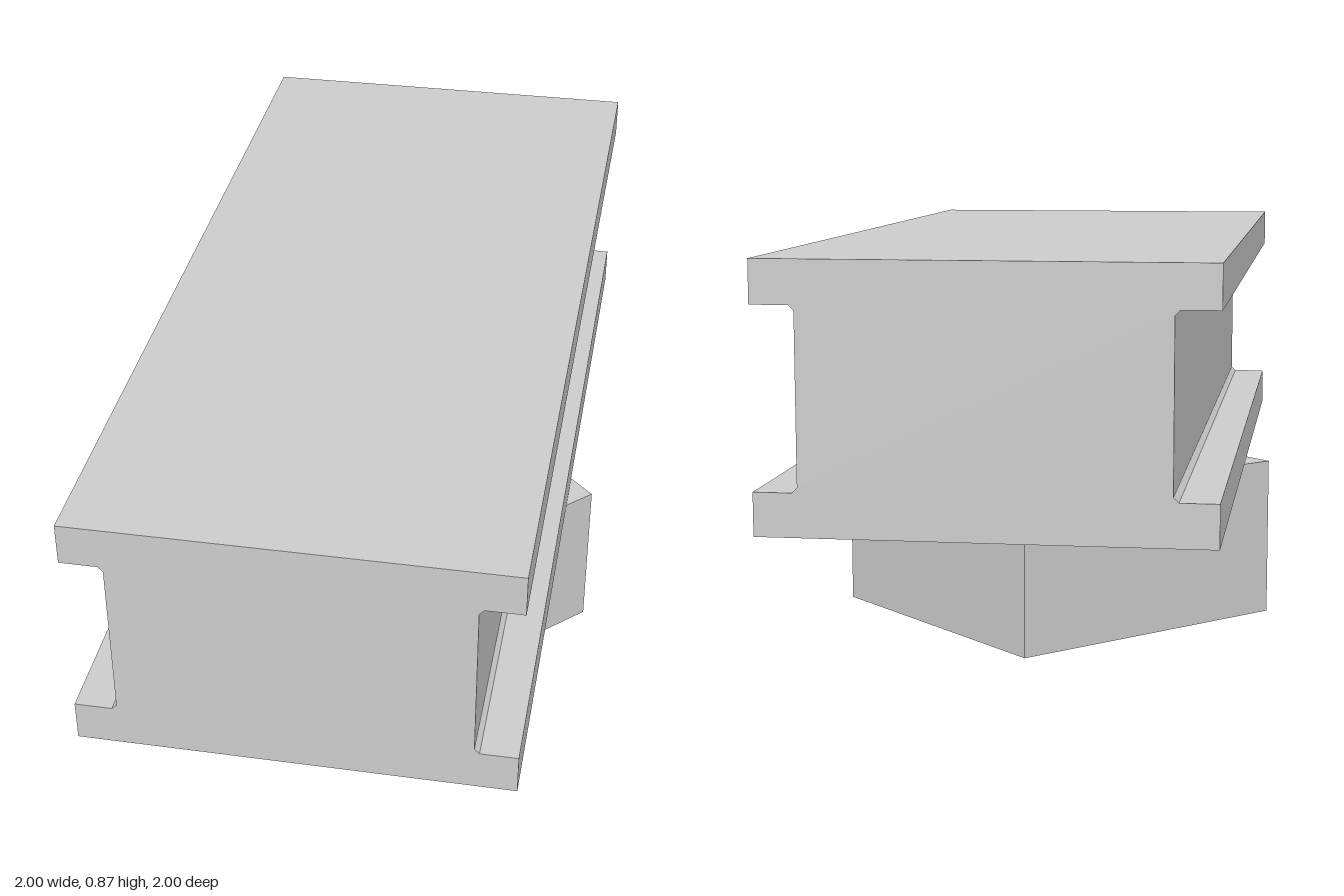
import * as THREE from 'three';

export function createModel() {
  const group = new THREE.Group();
  const material = new THREE.MeshStandardMaterial({ color: 0xcccccc, flatShading: true });

  // Square foot, aligned with the axes
  const base = new THREE.Mesh(new THREE.BoxGeometry(0.69, 0.35, 0.69), material);
  base.name = 'base';
  base.position.y = 0.175;
  group.add(base);

  // I-shaped beam profile with tiny fillets where the web meets the flanges
  const length = 1.96, flange = 0.435, web = 0.35, fillet = 0.01;
  const y0 = 0.35, y1 = 0.435, y2 = 0.785, y3 = 0.87;
  const right = [
    [flange, y0], [flange, y1], [web + fillet, y1], [web, y1 + fillet],
    [web, y2 - fillet], [web + fillet, y2], [flange, y2], [flange, y3],
  ];
  const left = right.map(([x, y]) => [-x, y]).reverse();
  const profile = new THREE.Shape([...right, ...left].map(([x, y]) => new THREE.Vector2(x, y)));

  // Beam set diagonally across the foot
  const beamGeometry = new THREE.ExtrudeGeometry(profile, { depth: length, bevelEnabled: false });
  beamGeometry.translate(0, 0, -length / 2);
  const beam = new THREE.Mesh(beamGeometry, material);
  beam.name = 'beam';
  beam.rotation.y = -Math.PI / 4;
  group.add(beam);

  return group;
}
